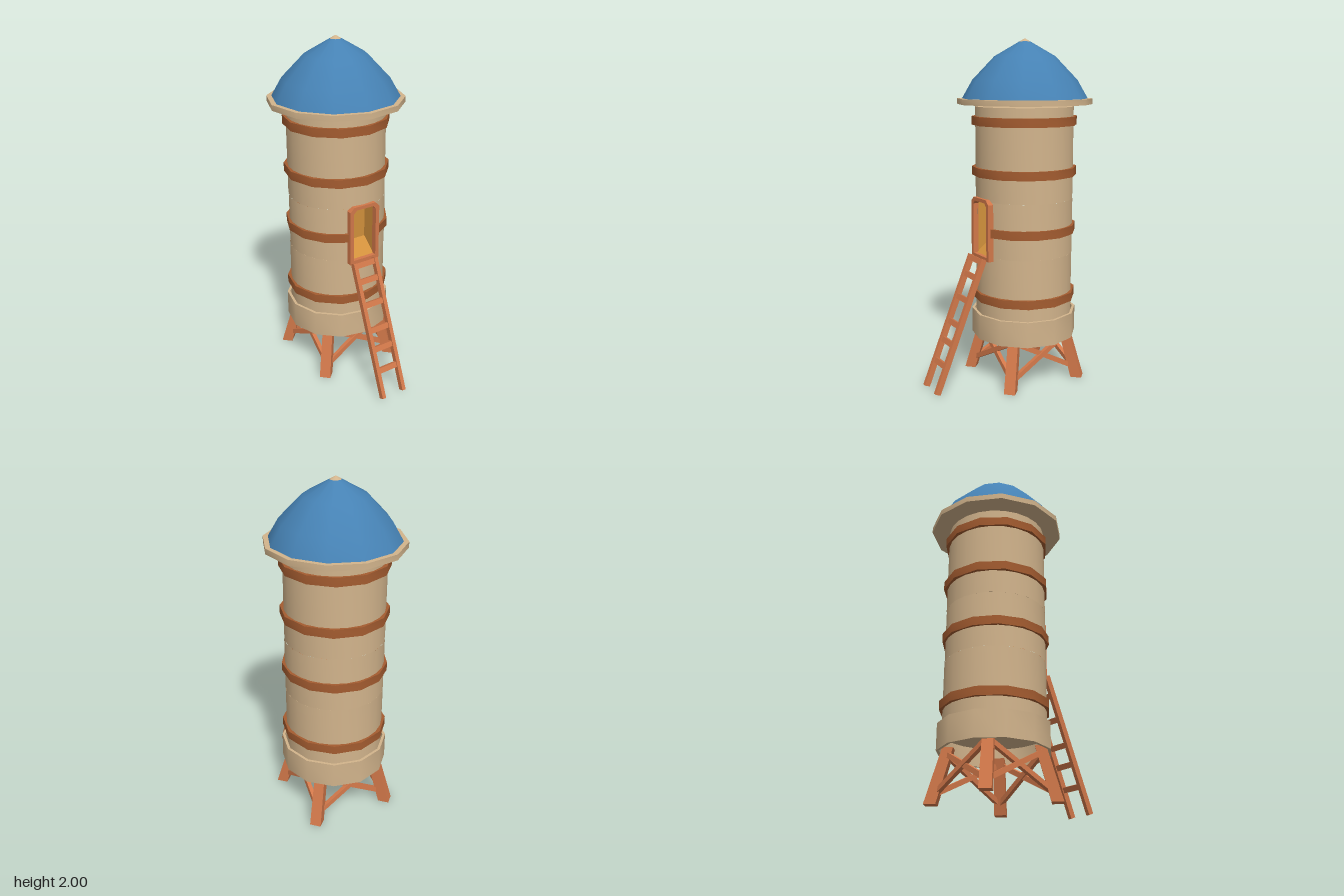
import * as THREE from 'three';
import { toCreasedNormals } from 'three/addons/utils/BufferGeometryUtils.js';

const mat = (name, color) => new THREE.MeshStandardMaterial({ name, color });
const AXIS_Z = -0.127;

export function createModel() {
  const tan = mat('tan', 0xd2b48c);
  const blue = mat('roof blue', 0x4682b4);
  const brown = mat('band brown', 0xa45c30);
  const wood = mat('orange wood', 0xd2784a);
  const amber = mat('amber', 0xd2913c);
  const model = new THREE.Group();
  const tower = new THREE.Group();
  tower.name = 'tower';
  tower.position.z = AXIS_Z;
  model.add(tower);

  const add = (parent, name, geometry, material) => {
    const mesh = new THREE.Mesh(geometry, material);
    mesh.name = name;
    parent.add(mesh);
    return mesh;
  };

  // Turned part; gap is the half angle left open at the front
  const turned = (name, profile, material, sides, turn = 0, gap = 0) => {
    const points = profile.map(([r, y]) => new THREE.Vector2(r, y));
    const geometry = new THREE.LatheGeometry(points, sides, gap, Math.PI * 2 - gap * 2);
    const mesh = add(tower, name, toCreasedNormals(geometry, 0.62), material);
    mesh.rotation.y = turn;
    return mesh;
  };
  const ring = (r0, r1, y0, y1) => [[r0, y0], [r1, y0], [r1, y1], [r0, y1], [r0, y0]];
  const drum = (r, y0, y1) => [[0, y0], [r, y0], [r, y1], [0, y1]];

  // Straight square beam between two points
  const beam = (parent, name, from, to, width, depth, material) => {
    const a = new THREE.Vector3(...from), b = new THREE.Vector3(...to);
    const dir = b.clone().sub(a);
    const mesh = add(parent, name, new THREE.BoxGeometry(width, dir.length(), depth), material);
    mesh.position.copy(a).add(b).multiplyScalar(0.5);
    mesh.quaternion.setFromUnitVectors(new THREE.Vector3(0, 1, 0), dir.normalize());
    return mesh;
  };

  // Tank body, open at the hatch
  turned('lowerBody', drum(0.285, 0.37, 0.77), tan, 24);
  turned('middleBody', [[0.285, 0.77], [0.285, 1.09]], tan, 24, 0, 0.266);
  turned('upperBody', drum(0.285, 1.09, 1.62), tan, 24);
  turned('baseCollar', ring(0.296, 0.312, 0.265, 0.415), tan, 12, 0.04);

  // Hoops
  [[0.515, 0.05], [1.25, 0.02], [1.54, 0.06]].forEach(([y, turn]) =>
    turned('hoop', ring(0.28, 0.306, y - 0.025, y + 0.025), brown, 12, turn));
  turned('hatchHoop', ring(0.28, 0.303, 0.89, 0.94), brown, 12, 0, 0.3);

  // Roof
  turned('roofBrim', drum(0.39, 1.632, 1.664), tan, 12, -0.077);
  turned('roof', [[0.362, 1.664], [0.302, 1.768], [0.175, 1.9], [0.032, 1.982]], blue, 12, -0.077);
  turned('roofCap', [[0.033, 1.981], [0, 2]], tan, 12);

  // Splayed legs, sheared so the feet stay level
  for (const sx of [-1, 1]) for (const sz of [-1, 1]) {
    const geometry = new THREE.CylinderGeometry(0.042, 0.046, 0.3, 4).toNonIndexed();
    const p = geometry.attributes.position;
    for (let i = 0; i < p.count; i++) {
      const y = p.getY(i) + 0.15;
      const out = 0.235 - y * 0.2;
      p.setXYZ(i, p.getX(i) + sx * out, y, p.getZ(i) + sz * out);
    }
    geometry.computeVertexNormals();
    add(tower, 'leg', geometry, wood);
  }

  // Crossed braces on each side
  for (let i = 0; i < 4; i++) {
    const side = new THREE.Group();
    side.name = 'crossBraces';
    side.rotation.y = i * Math.PI / 2;
    tower.add(side);
    for (const s of [-1, 1]) {
      beam(side, 'brace', [-s * 0.215, 0.06, 0.217 + s * 0.003],
        [s * 0.17, 0.265, 0.187 + s * 0.003], 0.028, 0.024, wood);
    }
  }

  // Hatch alcove, facing inward, with a floor that rises to the back
  const alcove = new THREE.BoxGeometry(0.155, 0.325, 0.1);
  alcove.scale(-1, -1, -1);
  const index = alcove.index, keep = [];
  const p = alcove.attributes.position;
  for (let i = 0; i < index.count; i += 3) {
    const tri = [0, 1, 2].map(k => index.getX(i + k));
    if (!tri.every(v => p.getZ(v) > 0)) keep.push(...tri);
  }
  alcove.setIndex(keep);
  for (let i = 0; i < p.count; i++) {
    if (p.getZ(i) < 0 && p.getY(i) < 0) p.setY(i, p.getY(i) + 0.08);
  }
  alcove.computeVertexNormals();
  add(model, 'hatchAlcove', alcove, amber).position.set(-0.002, 0.93, 0.105);

  // Hatch frame with clipped top corners
  const outline = (Target, w, y0, y1, cut) => new Target([[-w, y0], [w, y0], [w, y1 - cut],
    [w - cut, y1], [-w + cut, y1], [-w, y1 - cut]].map(([x, y]) => new THREE.Vector2(x, y)));
  const frame = outline(THREE.Shape, 0.098, 0.75, 1.105, 0.026);
  frame.holes.push(outline(THREE.Path, 0.075, 0.772, 1.085, 0.02));
  add(model, 'hatchFrame', new THREE.ExtrudeGeometry(frame, { depth: 0.034, bevelEnabled: false }), wood)
    .position.set(-0.002, 0, 0.139);

  // Leaning ladder
  const ladder = new THREE.Group();
  ladder.name = 'ladder';
  model.add(ladder);
  const railZ = y => 0.495 - y * 0.408;
  for (const x of [-0.083, 0.06]) {
    beam(ladder, 'ladderRail', [x, 0.01, railZ(0.01)], [x, 0.762, railZ(0.762)], 0.023, 0.034, wood);
  }
  const tilt = -Math.atan(0.408);
  for (const y of [0.16, 0.28, 0.385, 0.525, 0.655, 0.745]) {
    const rung = add(ladder, 'ladderRung', new THREE.BoxGeometry(0.135, 0.032, 0.022), wood);
    rung.position.set(-0.012, y, railZ(y));
    rung.rotation.x = tilt;
  }
  return model;
}
